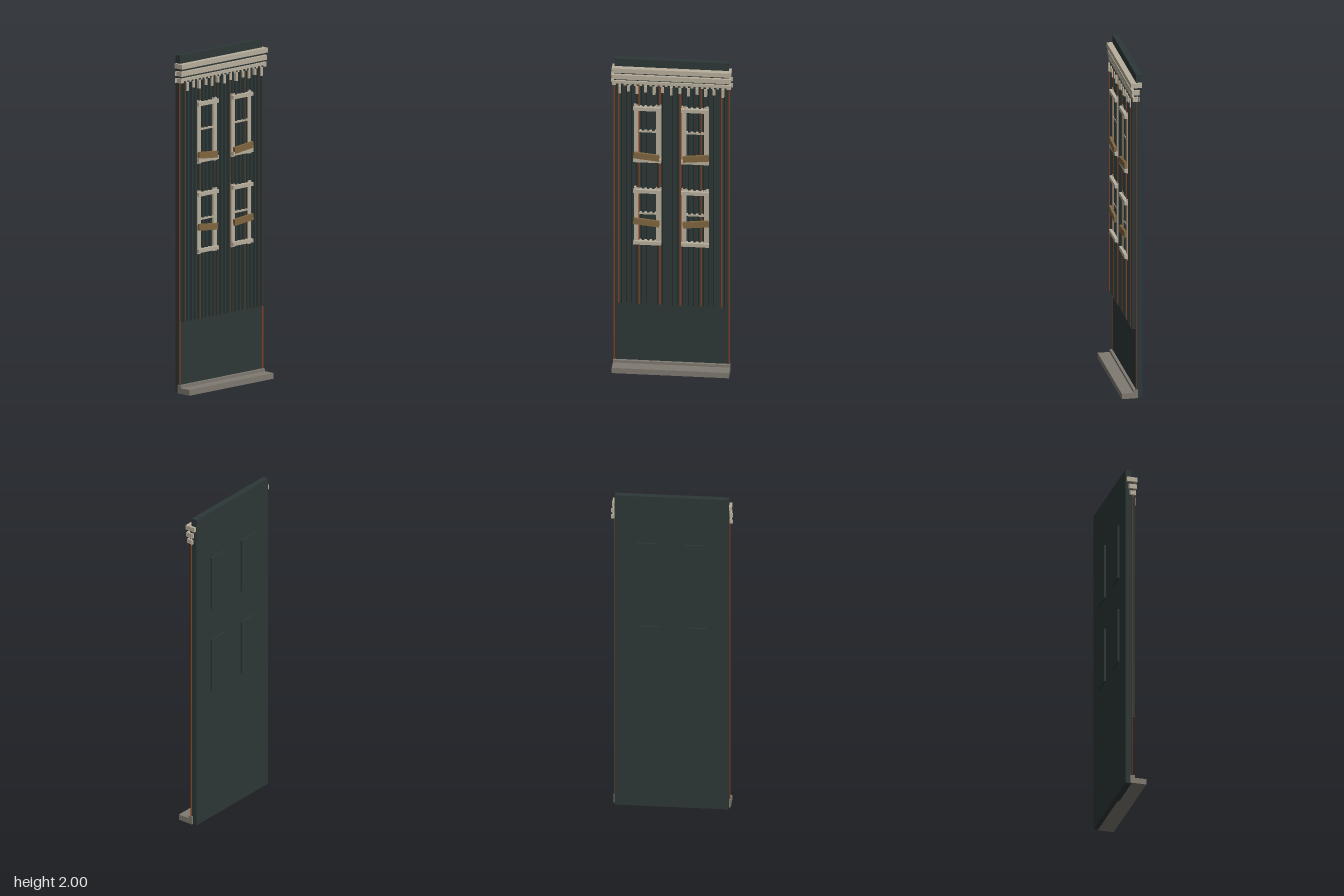
import * as THREE from 'three';

const mat = (name, color) => {
  const m = new THREE.MeshStandardMaterial({ color });
  m.name = name;
  return m;
};

export function createModel() {
  const root = new THREE.Group();
  root.name = 'facadePanel';
  const dark = mat('darkSlate', 0x2d3737);
  const trim = mat('paleTrim', 0xb8af9c);
  const stone = mat('greyStone', 0x7f7a71);
  const rust = mat('rust', 0x7c4024);
  const wood = mat('wood', 0x80663f);

  // Box given by its limits on each axis
  const box = (name, m, x0, x1, y0, y1, z0, z1, parent = root) => {
    const mesh = new THREE.Mesh(new THREE.BoxGeometry(x1 - x0, y1 - y0, z1 - z0), m);
    mesh.position.set((x0 + x1) / 2, (y0 + y1) / 2, (z0 + z1) / 2);
    mesh.name = name;
    parent.add(mesh);
    return mesh;
  };

  // Plan outline of [x, z] points, raised from y0 to y1
  const raise = (name, m, points, y0, y1) => {
    const shape = new THREE.Shape(points.map(([x, z]) => new THREE.Vector2(x, -z)));
    const geo = new THREE.ExtrudeGeometry(shape, { depth: y1 - y0, bevelEnabled: false });
    geo.rotateX(-Math.PI / 2);
    const mesh = new THREE.Mesh(geo, m);
    mesh.position.y = y0;
    mesh.name = name;
    root.add(mesh);
  };

  // Wall slab and stone foot
  box('wall', dark, -0.332, 0.332, 0, 2, -0.059, -0.022);
  box('footLedge', stone, -0.341, 0.341, 0, 0.034, -0.032, 0.065);
  box('footMoulding', stone, -0.341, 0.341, 0.034, 0.05, -0.032, -0.005);

  // Corrugated cladding
  const pitch = 0.03, count = 22, bottom = 0.425, top = 1.85;
  const floor = -0.013, crest = 0.003;
  const profile = [[-0.33, -0.024]];
  for (let i = 0; i < count; i++) {
    const x = -0.33 + i * pitch;
    profile.push([x, floor], [x + 0.005, floor], [x + 0.009, crest], [x + 0.021, crest], [x + 0.025, floor]);
  }
  profile.push([0.33, floor], [0.33, -0.024]);
  raise('cladding', dark, profile, bottom, top);

  // Rust on one flank of every fourth ridge
  for (let i = 0; i < count; i += 4) {
    const x = -0.33 + i * pitch;
    raise('rustStreak', rust, [
      [x + 0.019, crest], [x + 0.019, crest + 0.001], [x + 0.022, crest + 0.001],
      [x + 0.027, floor + 0.001], [x + 0.027, floor], [x + 0.025, floor], [x + 0.021, crest],
    ], bottom, top);
  }

  // Thin rusty strips along both edges
  for (const s of [-1, 1]) {
    const a = s * 0.33, b = s * 0.34;
    box('edgeStrip', rust, Math.min(a, b), Math.max(a, b), 0.05, top, -0.023, -0.019);
  }

  // Cornice bands
  box('corniceBacking', dark, -0.335, 0.335, 1.84, 1.945, -0.05, -0.012);
  box('corniceTop', trim, -0.347, 0.347, 1.924, 1.952, -0.053, 0.011);
  box('corniceMiddle', trim, -0.347, 0.347, 1.88, 1.908, -0.043, 0.006);
  box('corniceBottom', trim, -0.347, 0.347, 1.84, 1.867, -0.032, 0);
  for (const y of [1.88, 1.84]) {
    box('corniceFin', trim, -0.356, 0.356, y, y + 0.027, -0.039, -0.037);
  }

  // Dentils under the cornice, long and short in turn
  for (let i = 0; i < 13; i++) {
    const x = -0.3 + i * 0.05;
    box('dentil', trim, x - 0.008, x + 0.008, i % 2 ? 1.805 : 1.792, 1.842, -0.015, 0.01);
  }

  // Windows: frame, glazing bar, loose board and rear plate
  for (const side of [-1, 1]) {
    for (const [y, barY, boardY] of [[0.998, 1.016, 0.965], [1.533, 1.548, 1.392]]) {
      const win = new THREE.Group();
      win.name = 'window';
      root.add(win);
      const cx = side * 0.139;
      for (const s of [-1, 1]) {
        const px = cx + s * 0.065;
        box('windowPost', trim, px - 0.014, px + 0.014, y - 0.187, y + 0.187, -0.018, 0.005, win);
        const ry = y + s * 0.167;
        box('windowRail', trim, cx - 0.081, cx + 0.081, ry - 0.011, ry + 0.011, -0.012, 0.022, win);
      }
      box('glazingBar', trim, cx - 0.055, cx + 0.055, barY - 0.006, barY + 0.006, -0.015, 0.004, win);
      const bx = side * 0.144;
      const board = box('board', wood, bx - 0.076, bx + 0.076, boardY - 0.019, boardY + 0.019, 0.009, 0.024, win);
      board.rotation.z = side * 0.1;
      box('rearPlate', dark, side * 0.14 - 0.064, side * 0.14 + 0.064, y - 0.168, y + 0.168, -0.069, -0.058, win);
    }
  }
  return root;
}
